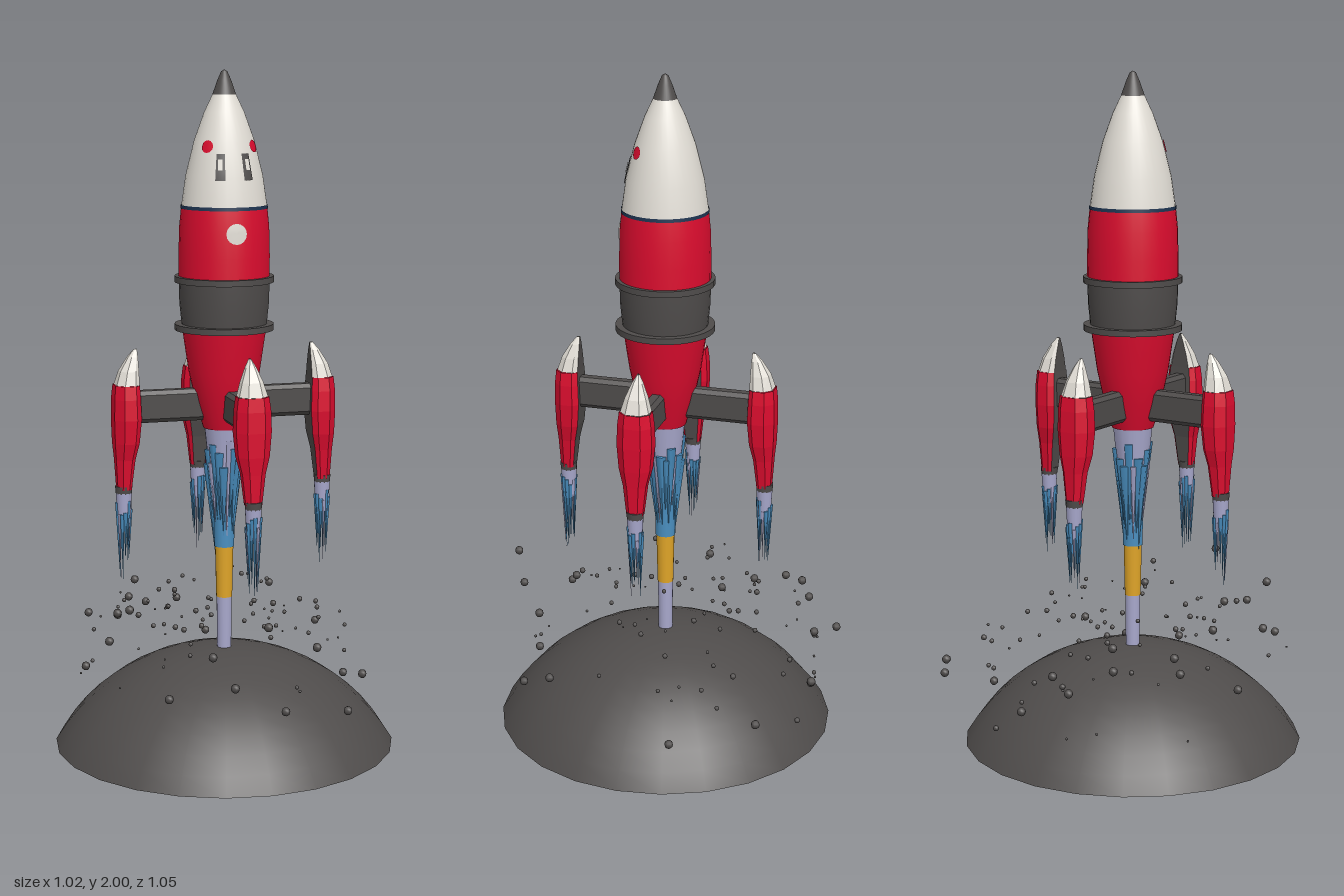
import * as THREE from 'three';

const mat = (name, color) => {
  const m = new THREE.MeshStandardMaterial({ color, side: THREE.DoubleSide });
  m.name = name;
  return m;
};

export function createModel() {
  const red = mat('red paint', 0xdc0c2e), white = mat('off white', 0xe2ded6);
  const dark = mat('dark grey', 0x4f4c4b), navy = mat('navy', 0x1d3350);
  const lavender = mat('pale smoke', 0xa8a8cc), blue = mat('blue flame', 0x4a8fc0);
  const gold = mat('gold flame', 0xe0a528);

  const root = new THREE.Group();
  root.name = 'rocketLaunch';
  const add = (parent, name, geo, m, x = 0, y = 0, z = 0) => {
    const mesh = new THREE.Mesh(geo, m);
    mesh.name = name;
    mesh.position.set(x, y, z);
    parent.add(mesh);
    return mesh;
  };
  const group = (parent, name) => {
    const g = new THREE.Group();
    g.name = name;
    parent.add(g);
    return g;
  };
  let seed = 7;
  const rnd = () => (seed = (seed * 16807) % 2147483647) / 2147483647;

  // Ground mound: a spherical cap with a flat underside
  const R = 0.59, sink = 0.3, rim = Math.sqrt(R * R - sink * sink);
  add(root, 'mound', new THREE.SphereGeometry(R, 24, 10, 0, Math.PI * 2, 0, Math.acos(sink / R)), dark, 0, -sink, 0);
  add(root, 'moundBase', new THREE.CircleGeometry(rim, 24).rotateX(Math.PI / 2), dark);

  // Hull: one profile (radius, height) cut into coloured bands
  const profile = [[0.062, 0.96], [0.085, 1.04], [0.105, 1.13], [0.124, 1.26], [0.131, 1.33], [0.133, 1.4],
    [0.133, 1.47], [0.131, 1.55], [0.125, 1.61], [0.112, 1.7], [0.087, 1.8], [0.058, 1.88], [0.034, 1.93],
    [0.02, 1.97], [0.009, 1.995], [0, 2]];
  const radiusAt = (y) => {
    const i = Math.max(1, profile.findIndex((p) => p[1] >= y));
    const [r0, y0] = profile[i - 1], [r1, y1] = profile[i];
    return r0 + (r1 - r0) * (y - y0) / (y1 - y0);
  };
  const hull = group(root, 'hull');
  const band = (name, a, b, m) => {
    const pts = profile.slice(a, b + 1).map(([r, y]) => new THREE.Vector2(r, y));
    add(hull, name, new THREE.LatheGeometry(pts, 32), m);
  };
  band('lowerHull', 0, 3, red);
  band('midBand', 3, 5, dark);
  band('upperHull', 5, 8, red);
  band('noseCone', 8, 12, white);
  band('noseCap', 12, 15, dark);
  add(hull, 'hullBase', new THREE.CircleGeometry(0.062, 32).rotateX(Math.PI / 2), dark, 0, 0.96, 0);
  add(hull, 'noseSeam', new THREE.CylinderGeometry(0.126, 0.127, 0.01, 32, 1, true), navy, 0, 1.61, 0);
  for (const y of [1.26, 1.4]) add(hull, 'bandRing', new THREE.CylinderGeometry(0.145, 0.145, 0.018, 32), dark, 0, y, 0);

  // Wraps a flat plate onto the front of the hull
  const wrap = (name, geo, m, x, y, lift) => {
    const p = geo.attributes.position, a0 = Math.asin(x / radiusAt(y));
    for (let i = 0; i < p.count; i++) {
      const h = y + p.getY(i), r = radiusAt(h) + lift, a = a0 + p.getX(i) / radiusAt(y);
      p.setXYZ(i, r * Math.sin(a), h, r * Math.cos(a));
    }
    geo.computeVertexNormals();
    add(hull, name, geo, m);
  };
  wrap('porthole', new THREE.RingGeometry(0, 0.03, 16, 4), white, 0, 1.54, 0.003);
  for (const s of [-1, 1]) {
    wrap('noseLight', new THREE.RingGeometry(0, 0.018, 12, 3), red, s * 0.066, 1.785, 0.003);
    wrap('windowFrame', new THREE.PlaneGeometry(0.026, 0.075, 4, 6), dark, s * 0.038, 1.728, 0.003);
    wrap('windowGlass', new THREE.PlaneGeometry(0.012, 0.03, 3, 3), white, s * 0.038, 1.735, 0.006);
  }

  // Flame: a tapered smoke sleeve ringed with ragged spikes
  const flame = (parent, x, top, r0, r1, sleeve, reach, count) => {
    const g = group(parent, 'flame');
    g.position.x = x;
    add(g, 'smokeSleeve', new THREE.CylinderGeometry(r0, r1, sleeve, 16, 1, true), lavender, 0, top - sleeve / 2, 0);
    for (let i = 0; i < count; i++) {
      const a = i / count * Math.PI * 2, pale = i % 4 === 0;
      const start = top - sleeve * (0.25 + 0.5 * rnd()), end = top - reach * (0.65 + 0.35 * rnd());
      const len = start - end, w = r0 * (pale ? 0.2 : 0.28);
      const spike = add(g, 'flameSpike', new THREE.ConeGeometry(w, len, 5).rotateX(Math.PI), pale ? lavender : blue);
      const r = r1 * 0.86;
      spike.position.set(r * Math.sin(a), (start + end) / 2, r * Math.cos(a));
      // Lean inwards along the taper of the sleeve
      const lean = Math.atan((r0 - r1) / sleeve) * 0.6;
      spike.rotation.set(-lean * Math.cos(a), 0, lean * Math.sin(a));
      spike.rotation.x *= -1;
      spike.rotation.z *= -1;
      spike.rotation.x = -spike.rotation.x * -1;
    }
  };
  flame(root, 0, 0.97, 0.06, 0.042, 0.17, 0.4, 20);

  // Central exhaust column
  add(root, 'exhaustCore', new THREE.CylinderGeometry(0.032, 0.03, 0.2, 16), blue, 0, 0.7, 0);
  add(root, 'goldExhaust', new THREE.CylinderGeometry(0.028, 0.024, 0.18, 16), gold, 0, 0.535, 0);
  add(root, 'smokeColumn', new THREE.CylinderGeometry(0.023, 0.021, 0.17, 16), lavender, 0, 0.365, 0);

  // Faceted strip between stacked cross-sections
  const loft = (rows) => {
    const v = [];
    for (let i = 0; i + 1 < rows.length; i++) {
      for (let j = 0; j + 1 < rows[i].length; j++) {
        const a = rows[i][j], b = rows[i + 1][j], c = rows[i][j + 1], d = rows[i + 1][j + 1];
        v.push(...a, ...b, ...c, ...b, ...d, ...c);
      }
    }
    const geo = new THREE.BufferGeometry();
    geo.setAttribute('position', new THREE.Float32BufferAttribute(v, 3));
    geo.computeVertexNormals();
    return geo;
  };
  // Booster sections: height, inner edge, outer edge, half width
  const boosterBody = [[0.79, 0.285, 0.325, 0.024], [0.88, 0.275, 0.33, 0.034], [0.93, 0.264, 0.334, 0.046],
    [1.0, 0.258, 0.336, 0.052], [1.06, 0.26, 0.335, 0.05], [1.1, 0.262, 0.331, 0.045]];
  const boosterNose = [[1.1, 0.262, 0.328, 0.042], [1.14, 0.262, 0.315, 0.031], [1.18, 0.262, 0.291, 0.015],
    [1.203, 0.263, 0.272, 0.003]];
  const shell = ([y, a, b, w]) => {
    const d = b - a;
    const half = [[a, 0.72 * w], [a + 0.2 * d, w], [a + 0.68 * d, w], [b, 0.5 * w]];
    return [...half.map(([x, z]) => [x, y, -z]), ...half.reverse().map(([x, z]) => [x, y, z])];
  };
  const innerFace = ([y, a, , w]) => [[a, y, 0.72 * w], [a, y, -0.72 * w]];

  // Chamfered strut cross-section
  const strut = new THREE.Shape([[-0.022, -0.035], [-0.012, -0.047], [0.012, -0.047], [0.022, -0.035],
    [0.022, 0.035], [0.012, 0.047], [-0.012, 0.047], [-0.022, 0.035]].map(([x, y]) => new THREE.Vector2(x, y)));

  // Four boosters around the hull
  for (let k = 0; k < 4; k++) {
    const g = group(root, 'booster');
    g.rotation.y = k * Math.PI / 2;
    const beam = new THREE.ExtrudeGeometry(strut, { depth: 0.23, bevelEnabled: false }).rotateY(Math.PI / 2);
    add(g, 'strut', beam, dark, 0.04, 1.033, 0);
    add(g, 'boosterBody', loft(boosterBody.map(shell)), red);
    add(g, 'boosterNose', loft(boosterNose.map(shell)), white);
    add(g, 'boosterInnerFace', loft([...boosterBody, ...boosterNose].map(innerFace)), dark);
    add(g, 'boosterNozzle', new THREE.CylinderGeometry(0.026, 0.024, 0.022, 12), dark, 0.305, 0.789, 0);
    flame(g, 0.305, 0.78, 0.024, 0.019, 0.09, 0.27, 12);
  }

  // Flying debris: larger rocks (x, y, z), then a scatter of grit
  const debris = group(root, 'debris');
  const rocks = [[-0.12, 0.3, -0.51], [-0.03, 0.32, -0.46], [0.07, 0.2, -0.475], [0.3, 0.33, -0.525],
    [0.415, 0.23, -0.39], [-0.2, 0.35, -0.405], [-0.185, 0.41, -0.385], [-0.353, 0.34, -0.295],
    [-0.28, 0.35, -0.21], [-0.41, 0.24, -0.07], [-0.315, 0.4, -0.055], [-0.38, 0.37, 0.125],
    [-0.34, 0.485, 0.215], [-0.27, 0.27, 0.395], [-0.125, 0.36, 0.33], [-0.108, 0.32, 0.5],
    [-0.005, 0.48, 0.475], [0.075, 0.2, 0.385], [0.18, 0.37, 0.345], [0.268, 0.18, 0.367],
    [0.35, 0.25, 0.255], [0.425, 0.13, -0.135]];
  const rockGeo = new THREE.SphereGeometry(1, 8, 6);
  const rock = (x, y, z, r) => add(debris, 'rock', rockGeo, dark, x, y, z).scale.setScalar(r);
  rocks.forEach(([x, y, z]) => rock(x, y, z, 0.013));
  for (let i = 0; i < 75; i++) {
    const a = rnd() * Math.PI * 2, d = 0.14 + 0.36 * rnd();
    const ground = Math.sqrt(R * R - Math.min(d, rim) ** 2) - sink;
    rock(d * Math.cos(a), ground + 0.07 + 0.18 * rnd(), d * Math.sin(a), 0.003 + 0.006 * rnd());
  }
  return root;
}
